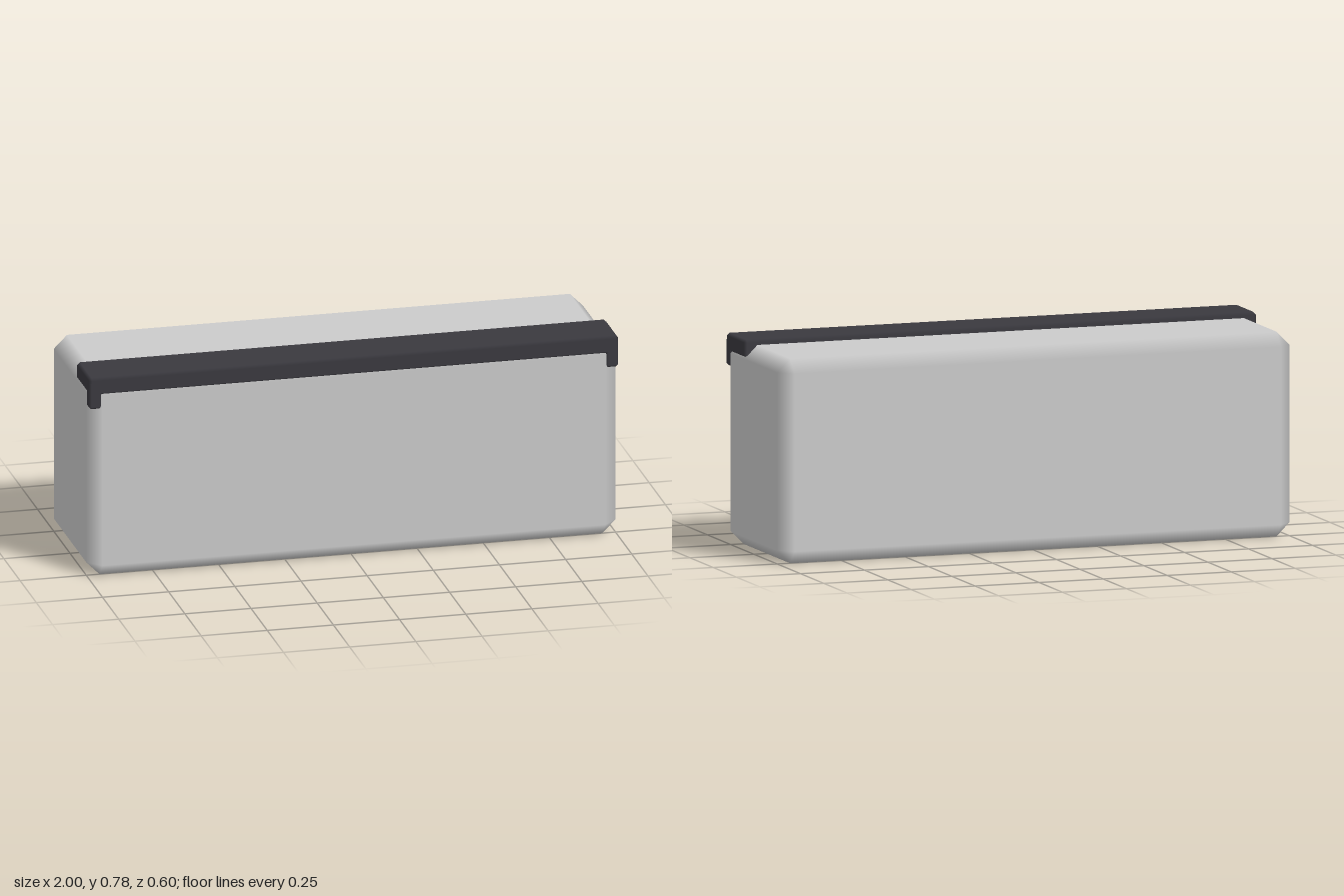
import * as THREE from 'three';

// Box with a one-step chamfer; flat faces, shading blended across the chamfers
function chamferedBox(w, h, d, c) {
  const half = [w / 2, h / 2, d / 2];
  const positions = [], normals = [], index = [];
  const signs = [-1, 1];

  // Three vertices per corner, one lying on each adjoining face
  for (const sx of signs) for (const sy of signs) for (const sz of signs) {
    const s = [sx, sy, sz];
    for (let axis = 0; axis < 3; axis++) {
      for (let k = 0; k < 3; k++) {
        positions.push(s[k] * (half[k] - (k === axis ? 0 : c)));
        normals.push(k === axis ? s[k] : 0);
      }
    }
  }

  const id = (s, axis) => ((s[0] + 1) * 2 + (s[1] + 1) + (s[2] + 1) / 2) * 3 + axis;
  const point = i => new THREE.Vector3().fromArray(positions, i * 3);
  // The solid is convex about its centre, so each triangle is turned outward
  const tri = (a, b, e) => {
    const pa = point(a);
    const n = point(b).sub(pa).cross(point(e).sub(pa));
    if (n.dot(pa) > 0) index.push(a, b, e);
    else index.push(a, e, b);
  };
  const quad = (a, b, e, f) => { tri(a, b, e); tri(a, e, f); };

  for (let axis = 0; axis < 3; axis++) {
    const u = (axis + 1) % 3, v = (axis + 2) % 3;
    const corner = (sa, su, sv) => {
      const s = [0, 0, 0];
      s[axis] = sa; s[u] = su; s[v] = sv;
      return s;
    };
    // Main faces
    for (const a of signs) {
      quad(id(corner(a, -1, -1), axis), id(corner(a, 1, -1), axis),
        id(corner(a, 1, 1), axis), id(corner(a, -1, 1), axis));
    }
    // Edge chamfers running along this axis
    for (const p of signs) for (const q of signs) {
      const lo = corner(-1, p, q), hi = corner(1, p, q);
      quad(id(lo, u), id(hi, u), id(hi, v), id(lo, v));
    }
  }
  // Corner triangles
  for (let i = 0; i < 8; i++) tri(i * 3, i * 3 + 1, i * 3 + 2);

  const geometry = new THREE.BufferGeometry();
  geometry.setAttribute('position', new THREE.Float32BufferAttribute(positions, 3));
  geometry.setAttribute('normal', new THREE.Float32BufferAttribute(normals, 3));
  geometry.setIndex(index);
  return geometry;
}

export function createModel() {
  const model = new THREE.Group();
  model.name = 'edgedBlock';
  const grey = new THREE.MeshStandardMaterial({ color: 0xcccccc });
  const dark = new THREE.MeshStandardMaterial({ color: 0x3a393f });

  // Adds a chamfered box given by its lower and upper corners
  const add = (parent, name, min, max, chamfer, material) => {
    const size = max.map((m, i) => m - min[i]);
    const mesh = new THREE.Mesh(chamferedBox(...size, chamfer), material);
    mesh.position.set(...max.map((m, i) => (m + min[i]) / 2));
    mesh.name = name;
    parent.add(mesh);
  };

  // Main block
  add(model, 'body', [-1, 0, -0.3], [1, 0.76, 0.3], 0.05, grey);

  // Dark edging along the top front, with a short leg down each front corner
  const trim = new THREE.Group();
  trim.name = 'trim';
  model.add(trim);
  add(trim, 'trimBar', [-1, 0.713, 0.1], [1, 0.78, 0.3], 0.01, dark);
  add(trim, 'leftTrimLeg', [0.953, 0.66, 0.253], [1, 0.765, 0.3], 0.008, dark);
  add(trim, 'rightTrimLeg', [-1, 0.66, 0.253], [-0.953, 0.765, 0.3], 0.008, dark);

  return model;
}
